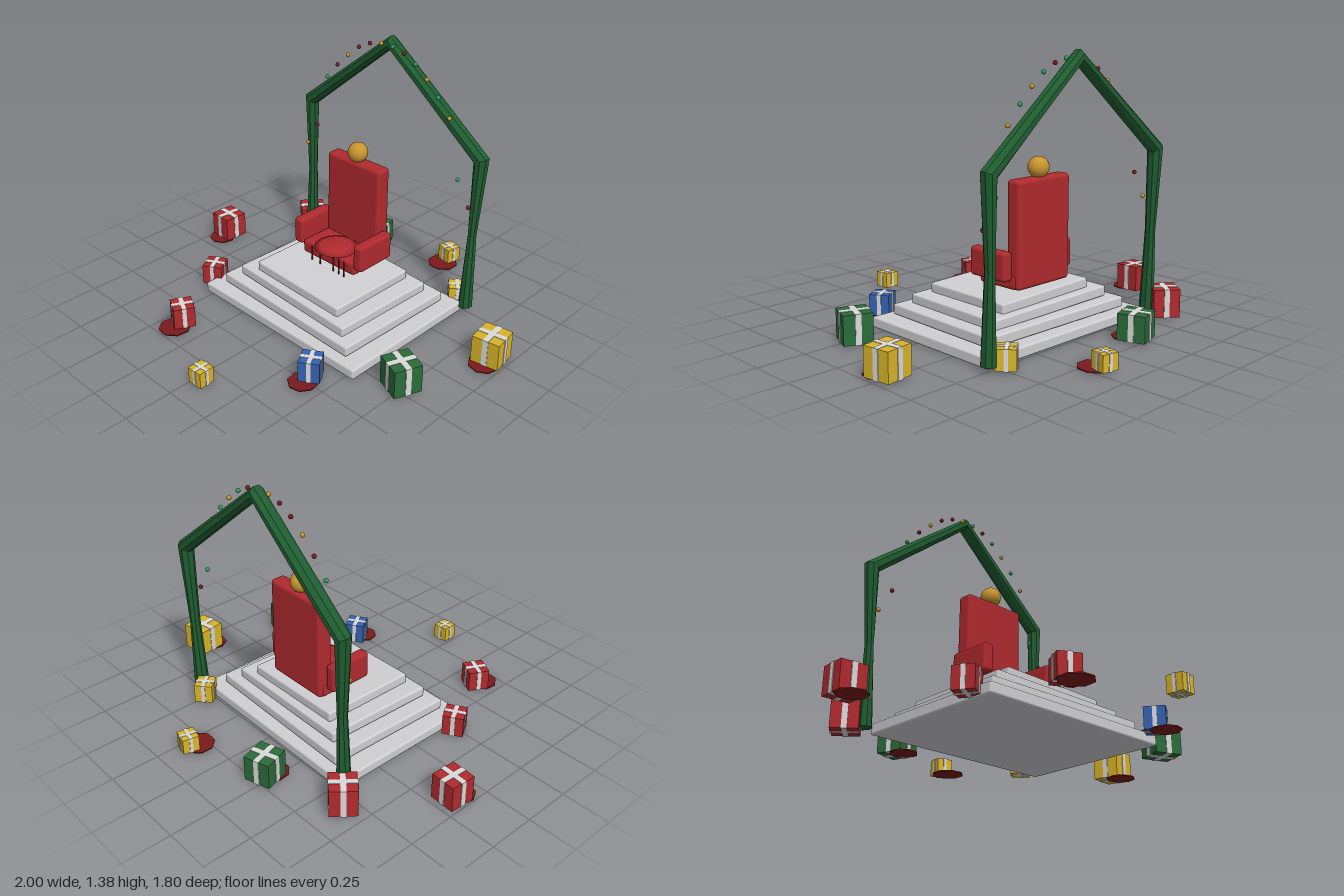
import * as THREE from 'three';
import { RoundedBoxGeometry } from 'three/addons/geometries/RoundedBoxGeometry.js';

const mat = (name, color) => {
  const m = new THREE.MeshStandardMaterial({ color });
  m.name = name;
  return m;
};

export function createModel() {
  const red = mat('red', 0xb02a2e);
  const darkRed = mat('darkRed', 0x7a1a1c);
  const archGreen = mat('garlandGreen', 0x1f5c30);
  const giftGreen = mat('giftGreen', 0x2c6b39);
  const baubleGreen = mat('baubleGreen', 0x2a9a5c);
  const gold = mat('gold', 0xc8952f);
  const yellow = mat('yellow', 0xd9b52a);
  const blue = mat('blue', 0x3562b0);
  const stone = mat('stone', 0xd0d0d3);
  const ribbon = mat('ribbon', 0xdadada);

  const model = new THREE.Group();
  const add = (name, geo, material, x, y, z, parent = model) => {
    const mesh = new THREE.Mesh(geo, material);
    mesh.name = name;
    mesh.position.set(x, y, z);
    parent.add(mesh);
    return mesh;
  };
  const rbox = (w, h, d, r) => new RoundedBoxGeometry(w, h, d, 2, r);

  // Stepped platform, each slab slightly askew: width, depth, centre height, turn, tilt
  [
    [1.09, 0.83, 0.0275, -0.01, 0],
    [0.92, 0.71, 0.088, -0.033, -0.006],
    [0.77, 0.605, 0.143, -0.037, -0.025],
    [0.59, 0.52, 0.192, -0.02, -0.03],
  ].forEach(([w, d, y, turn, tilt], i) => {
    const slab = add('platformStep' + (i + 1), rbox(w, 0.055, d, 0.01), stone, 0.004, y, -0.08);
    slab.rotation.set(0, turn, tilt);
  });

  // Armchair
  const chair = new THREE.Group();
  chair.name = 'chair';
  model.add(chair);
  add('backrest', rbox(0.36, 0.53, 0.085, 0.02), red, 0, 0.505, -0.274, chair);
  add('seat', rbox(0.37, 0.075, 0.25, 0.02), red, 0, 0.277, -0.175, chair);
  for (const s of [-1, 1]) {
    add('armrest', rbox(0.06, 0.145, 0.235, 0.018), red, s * 0.211, 0.358, -0.16, chair);
  }
  const lens = [[0, -0.02], [0.085, -0.018], [0.115, 0], [0.085, 0.012], [0, 0.022]]
    .map(([x, y]) => new THREE.Vector2(x, y));
  add('roundCushion', new THREE.LatheGeometry(lens, 16), red, 0, 0.318, -0.115, chair);
  for (const x of [-0.11, -0.05, 0.045, 0.085, 0.12]) {
    add('fringeStrand', new THREE.BoxGeometry(0.007, 0.1, 0.005), darkRed, x, 0.255, -0.046, chair);
  }
  add('finial', new THREE.SphereGeometry(0.053, 24, 16), gold, 0, 0.812, -0.27, chair);

  // Gabled arch: eight-sided sections along the path, mitred at the corners
  // x, y, z, angle of the outward axis in degrees, half width, half depth
  const half = [
    [-0.567, 0.03, -0.507, 180, 0.034, 0.038],
    [-0.568, 0.45, -0.517, 180, 0.019, 0.027],
    [-0.581, 0.872, -0.525, 154, 0.04, 0.038],
  ];
  const sections = [
    ...half,
    [0, 1.342, -0.508, 90, 0.034, 0.038],
    ...half.map(([x, y, z, a, w, d]) => [-x, y, z, 180 - a, w, d]).reverse(),
  ];
  const N = 8, pos = [], idx = [];
  for (const [x, y, z, deg, w, d] of sections) {
    const t = THREE.MathUtils.degToRad(deg);
    for (let j = 0; j < N; j++) {
      const a = ((j + 0.5) / N) * Math.PI * 2;
      const u = Math.cos(a) * w * 1.06, v = Math.sin(a) * d * 1.06;
      pos.push(x + Math.cos(t) * u, y + Math.sin(t) * u, z + v);
    }
  }
  const last = (sections.length - 1) * N;
  for (let i = 0; i < last; i += N) {
    for (let j = 0; j < N; j++) {
      const k = (j + 1) % N;
      idx.push(i + j, i + k, i + N + k, i + j, i + N + k, i + N + j);
    }
  }
  for (let j = 1; j < N - 1; j++) {
    idx.push(0, j + 1, j, last, last + j, last + j + 1);
  }
  let archGeo = new THREE.BufferGeometry();
  archGeo.setAttribute('position', new THREE.Float32BufferAttribute(pos, 3));
  archGeo.setIndex(idx);
  archGeo = archGeo.toNonIndexed();
  archGeo.computeVertexNormals();
  add('garlandArch', archGeo, archGreen, 0, 0, 0);

  // Baubles strung along the arch
  const heights = [1.335, 1.318, 1.28, 1.22, 1.147, 1.06, 0.755, 0.625];
  const leftColours = [baubleGreen, darkRed, baubleGreen, gold, baubleGreen, gold, baubleGreen, darkRed];
  const rightColours = [gold, darkRed, darkRed, gold, darkRed, baubleGreen, darkRed, gold];
  const baubleGeo = new THREE.SphereGeometry(0.0115, 10, 8);
  heights.forEach((y, k) => {
    const x = 0.0375 + 0.075 * k;
    add('bauble', baubleGeo, leftColours[k], x, y, -0.47);
    add('bauble', baubleGeo, rightColours[k], -x, y, -0.47);
  });

  // Wrapped gifts: x, z, width, height, turn in degrees, colour, radius of the mat beneath
  const base = 0.01;
  [
    [-0.63, -0.57, 0.135, 0.145, -40, red, 0],
    [-0.225, -0.70, 0.14, 0.132, 17, giftGreen, 0.073],
    [0.195, -0.85, 0.084, 0.082, -13, yellow, 0.083],
    [0.487, -0.54, 0.095, 0.1, 40, yellow, 0],
    [0.915, -0.25, 0.145, 0.143, 8, yellow, 0.078],
    [0.74, 0.22, 0.145, 0.148, -22, giftGreen, 0],
    [0.387, 0.46, 0.105, 0.11, 32, blue, 0.075],
    [0.047, 0.85, 0.083, 0.082, 2, yellow, 0],
    [-0.395, 0.61, 0.11, 0.112, -28, red, 0.083],
    [-0.588, 0.23, 0.107, 0.11, 30, red, 0],
    [-0.925, -0.16, 0.135, 0.135, -3, red, 0.075],
  ].forEach(([x, z, s, h, turn, colour, r]) => {
    const gift = new THREE.Group();
    gift.name = 'gift';
    gift.position.set(x, base, z);
    gift.rotation.y = THREE.MathUtils.degToRad(turn);
    model.add(gift);
    add('giftBox', new THREE.BoxGeometry(s, h, s), colour, 0, h / 2, 0, gift);
    const band = new THREE.BoxGeometry(s * 0.2, h + 0.004, s + 0.006);
    add('ribbon', band, ribbon, 0, h / 2, 0, gift);
    add('ribbon', band, ribbon, 0, h / 2, 0, gift).rotation.y = Math.PI / 2;
    if (r) {
      const disc = add('giftMat', new THREE.CylinderGeometry(r, r, 0.006, 8), darkRed, x, 0.007, z + 0.056);
      disc.rotation.y = turn;
    }
  });

  return model;
}
